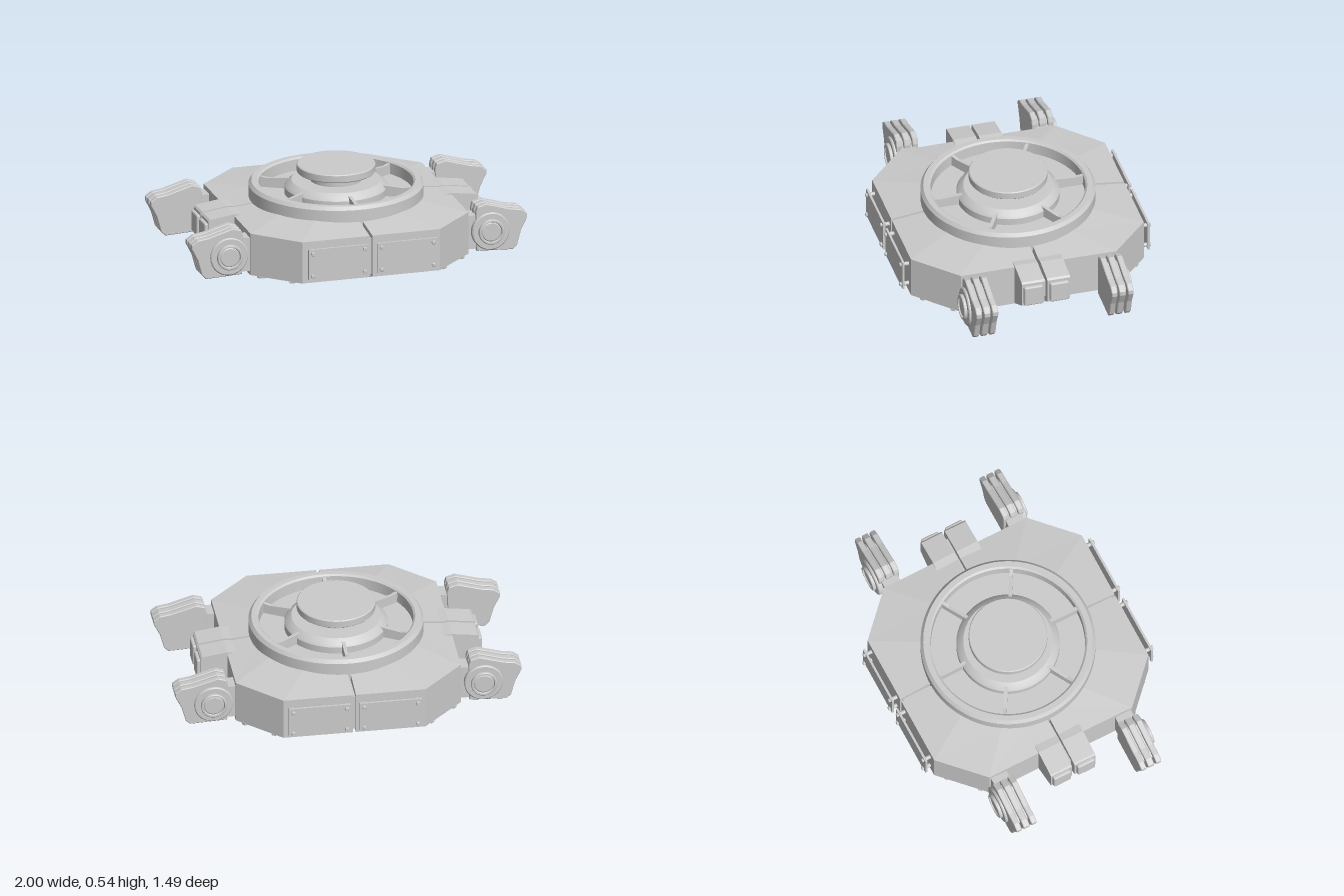
import * as THREE from 'three';
import { toCreasedNormals } from 'three/addons/utils/BufferGeometryUtils.js';
import { RoundedBoxGeometry } from 'three/addons/geometries/RoundedBoxGeometry.js';

const material = new THREE.MeshStandardMaterial({ color: 0xcccccc });

// Mirrors a geometry across x and/or z and keeps its faces outward
function mirrored(source, sx, sz) {
  const geo = source.index ? source.toNonIndexed() : source.clone();
  geo.scale(sx, 1, sz);
  if (sx * sz < 0) {
    for (const attr of Object.values(geo.attributes)) {
      const { array, itemSize: n } = attr;
      for (let t = 0; t < array.length; t += 3 * n) {
        for (let k = 0; k < n; k++) {
          const keep = array[t + n + k];
          array[t + n + k] = array[t + 2 * n + k];
          array[t + 2 * n + k] = keep;
        }
      }
    }
  }
  return geo;
}

const box = (w, h, d, x, y, z) => new THREE.BoxGeometry(w, h, d).translate(x, y, z);

// Side profile in x and y, spanning z0 to z1
function slab(points, z0, z1, bevel = 0) {
  const shape = new THREE.Shape(points.map(([x, y]) => new THREE.Vector2(x, y)));
  return new THREE.ExtrudeGeometry(shape, {
    depth: z1 - z0 - 2 * bevel, bevelEnabled: bevel > 0, bevelThickness: bevel,
    bevelSize: bevel, bevelOffset: -bevel, bevelSegments: 1,
  }).translate(0, 0, z0 + bevel);
}

function lathe(points, segments = 72) {
  const profile = points.map(([r, y]) => new THREE.Vector2(r, y));
  return toCreasedNormals(new THREE.LatheGeometry(profile, segments), 0.45);
}

// Disc or ring turned about z
const turned = (points, x, y, z, segments = 40) =>
  lathe(points, segments).rotateX(Math.PI / 2).translate(x, y, z);

// One quarter of the sloping octagonal hull, as a loop of cross-sections
function hullQuarter() {
  const outer = [[0.008, 0.69, 0.32], [0.41, 0.69, 0.32], [0.65, 0.46, 0.322], [0.65, 0.008, 0.325]];
  const inner = [[0.008, 0.43], [0.25, 0.43], [0.42, 0.26], [0.42, 0.008]];
  const sections = outer.map(([x, z, top], i) => {
    const [u, w] = inner[i];
    return [[u, 0.072, w], [x, 0.072, z], [x, top, z], [u, 0.352, w]];
  });
  const pos = [];
  const quad = (a, b, c, d) => pos.push(...a, ...b, ...c, ...a, ...c, ...d);
  for (let i = 0; i < 3; i++) {
    for (let j = 0; j < 4; j++) {
      const k = (j + 1) % 4;
      quad(sections[i][j], sections[i + 1][j], sections[i + 1][k], sections[i][k]);
    }
  }
  quad(...sections[0]);
  quad(...[...sections[3]].reverse());
  const geo = new THREE.BufferGeometry();
  geo.setAttribute('position', new THREE.Float32BufferAttribute(pos, 3));
  geo.computeVertexNormals();
  return geo;
}

export function createModel() {
  const model = new THREE.Group();
  model.name = 'turretPlatform';
  const add = (name, geo, parent = model) => {
    const mesh = new THREE.Mesh(geo, material);
    mesh.name = name;
    parent.add(mesh);
  };

  // Recessed core seen in the gaps between hull quarters
  add('gapFillerLong', box(0.04, 0.215, 1.34, 0, 0.19, 0));
  add('gapFillerWide', box(1.52, 0.11, 0.04, 0, 0.225, 0));

  // Parts of one quarter, repeated by mirroring
  const parts = [];
  const part = (name, geo) => parts.push([name, geo]);
  part('hullQuarter', hullQuarter());

  // Side tab with sloping underside and a raised pad
  part('sideTab', slab([[0.6, 0.08], [0.66, 0.08], [0.805, 0.16], [0.805, 0.305], [0.795, 0.315],
    [0.65, 0.335], [0.6, 0.33]], 0.008, 0.143));
  part('sideTabPad', new RoundedBoxGeometry(0.05, 0.125, 0.112, 2, 0.01).translate(0.8, 0.228, 0.077));

  // Bolted armour plate on stand-off pins
  part('armourPlate', box(0.36, 0.18, 0.013, 0.205, 0.195, 0.727));
  for (const x of [0.05, 0.36]) {
    for (const y of [0.125, 0.26]) {
      part('plateBolt', turned([[0, -0.04], [0.012, -0.04], [0.012, 0.018], [0.009, 0.022], [0, 0.022]],
        x, y, 0.723, 12));
    }
  }

  // Hinge arm: three shaped leaves, spacers and a round hub
  const leaf = [[0.70, 0.085], [0.915, 0.075], [0.94, 0.10], [0.965, 0.19], [1, 0.26], [1, 0.285], [0.965, 0.31],
    [0.90, 0.32], [0.755, 0.363], [0.705, 0.348], [0.695, 0.316]];
  for (const [z0, z1] of [[0.337, 0.37], [0.382, 0.42], [0.433, 0.466]]) {
    part('armLeaf', slab(leaf, z0, z1, 0.004));
  }
  const spacer = leaf.map(([x, y]) => [0.78 + (x - 0.78) * 0.78, 0.2 + (y - 0.2) * 0.8]);
  part('armSpacer', slab(spacer, 0.345, 0.455));
  part('armRoot', box(0.14, 0.2, 0.1, 0.68, 0.195, 0.4));
  part('armHubDisc', turned([[0, -0.02], [0.112, -0.02], [0.112, 0.014], [0.106, 0.02], [0, 0.02]],
    0.78, 0.2, 0.46));
  part('armHubRing', turned([[0.075, -0.02], [0.075, 0.014], [0.071, 0.018], [0.062, 0.018], [0.058, 0.008],
    [0.052, 0.012], [0, 0.012]], 0.78, 0.2, 0.48));

  // Tapered ribs below the corner facets
  const rib = [[0.44, 0.005], [0.53, 0.005], [0.79, 0.062], [0.79, 0.075], [0.44, 0.075]];
  for (const offset of [-7.5, 7.5]) {
    const angle = THREE.MathUtils.degToRad(46.8 + offset);
    part('bottomRib', slab(rib, -0.012, 0.012).rotateY(-angle));
  }

  for (const sx of [1, -1]) {
    for (const sz of [1, -1]) {
      const quarter = new THREE.Group();
      quarter.name = `${sz > 0 ? 'front' : 'back'}${sx > 0 ? 'Left' : 'Right'}Quarter`;
      model.add(quarter);
      for (const [name, geo] of parts) add(name, mirrored(geo, sx, sz), quarter);
    }
  }

  // Stepped round base with a recessed underside
  add('base', lathe([[0, 0.055], [0.32, 0.055], [0.345, 0.018], [0.385, 0.018], [0.395, 0.035], [0.43, 0.035],
    [0.44, 0], [0.488, 0], [0.5, 0.01], [0.5, 0.045], [0.46, 0.047], [0.46, 0.09], [0, 0.09]], 96));

  // Top ring, recessed floor and spokes
  add('topRing', lathe([[0.5, 0.31], [0.5, 0.415], [0.484, 0.435], [0.453, 0.435], [0.442, 0.426],
    [0.44, 0.34]], 96));
  add('ringFloor', lathe([[0.46, 0.33], [0.46, 0.36], [0, 0.36]], 96));
  const spoke = [[0.25, 0.355], [0.45, 0.355], [0.45, 0.423], [0.4, 0.415], [0.25, 0.425]];
  for (let i = 0; i < 6; i++) {
    add('spoke', slab(spoke, -0.01, 0.01).rotateY(Math.PI / 6 + i * Math.PI / 3));
  }

  // Central pedestal carrying a flat disc
  add('pedestal', lathe([[0.295, 0.355], [0.295, 0.4], [0.285, 0.415], [0.255, 0.438], [0.148, 0.438],
    [0.148, 0.49]]));
  add('topDisc', lathe([[0, 0.487], [0.22, 0.487], [0.225, 0.492], [0.225, 0.53], [0.22, 0.535], [0, 0.535]]));

  return model;
}
